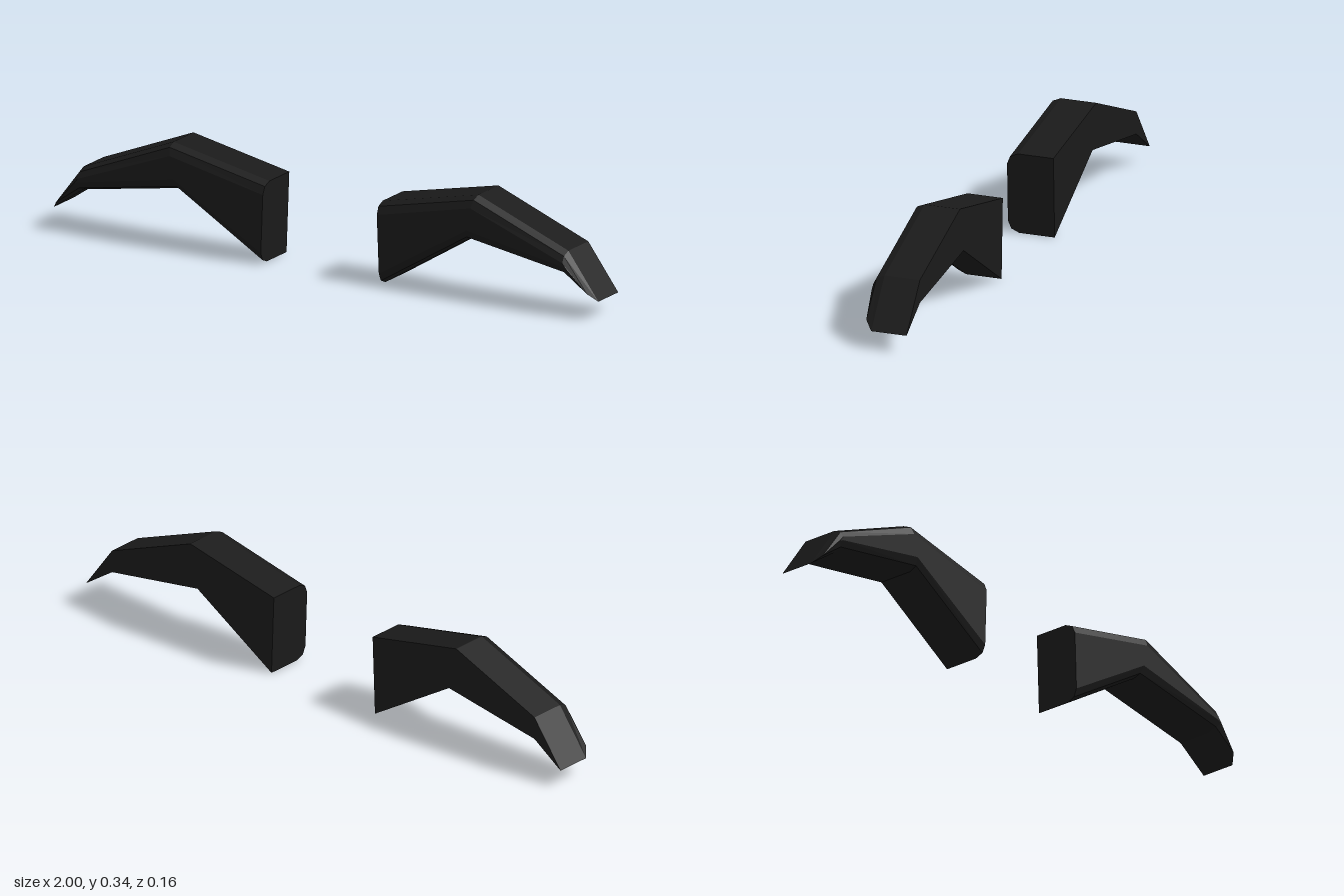
import * as THREE from 'three';

// Outline counter-clockwise from the front: lower edge outward, tip, upper edge inward
const outline = [
  [0.218, 0.003], [0.53, 0.195], [0.89, 0.135], [1.0, 0.06],
  [0.89, 0.21], [0.56, 0.342], [0.208, 0.268],
];
// Layers from back to front: depth, edge inset, tip position
const layers = [
  { z: -0.079, inset: 0, tip: [1.0, 0.06] },
  { z: 0.041, inset: 0, tip: [1.0, 0.06] },
  { z: 0.068, inset: 0.0115, tip: [0.975, 0.087] },
  { z: 0.079, inset: 0.037, tip: [0.905, 0.16] },
];

// Faceted brow with a flat back and a two-step bevel around the front
function browGeometry(side) {
  const n = outline.length;
  const positions = [];
  const index = [];
  const tri = (a, b, c) => (side > 0 ? index.push(a, b, c) : index.push(a, c, b));

  for (const { z, inset, tip } of layers) {
    outline.forEach(([x, y], i) => {
      let p = tip;
      if (i !== 3) {
        // Move toward the opposite edge at the same station
        const [ox, oy] = outline[n - 1 - i];
        const dist = Math.hypot(ox - x, oy - y);
        const t = Math.min(inset / dist, 0.42);
        p = [x + (ox - x) * t, y + (oy - y) * t];
      }
      positions.push(side * p[0], p[1], z);
    });
  }

  // Side walls and bevels
  for (let k = 0; k < layers.length - 1; k++) {
    for (let i = 0; i < n; i++) {
      const a = k * n + i;
      const b = k * n + ((i + 1) % n);
      tri(a, b, b + n);
      tri(a, b + n, a + n);
    }
  }

  // Front and back faces
  const f = (layers.length - 1) * n;
  for (const [a, b, c] of [[0, 1, 5], [0, 5, 6], [1, 2, 4], [1, 4, 5], [2, 3, 4]]) {
    tri(f + a, f + b, f + c);
    tri(a, c, b);
  }

  const indexed = new THREE.BufferGeometry();
  indexed.setAttribute('position', new THREE.Float32BufferAttribute(positions, 3));
  indexed.setIndex(index);
  const geometry = indexed.toNonIndexed();
  geometry.computeVertexNormals();
  return geometry;
}

export function createModel() {
  const group = new THREE.Group();
  group.name = 'eyebrows';
  const material = new THREE.MeshStandardMaterial({ color: 0x1a1a1a, flatShading: true });
  for (const [name, side] of [['leftBrow', 1], ['rightBrow', -1]]) {
    const brow = new THREE.Mesh(browGeometry(side), material);
    brow.name = name;
    group.add(brow);
  }
  return group;
}
